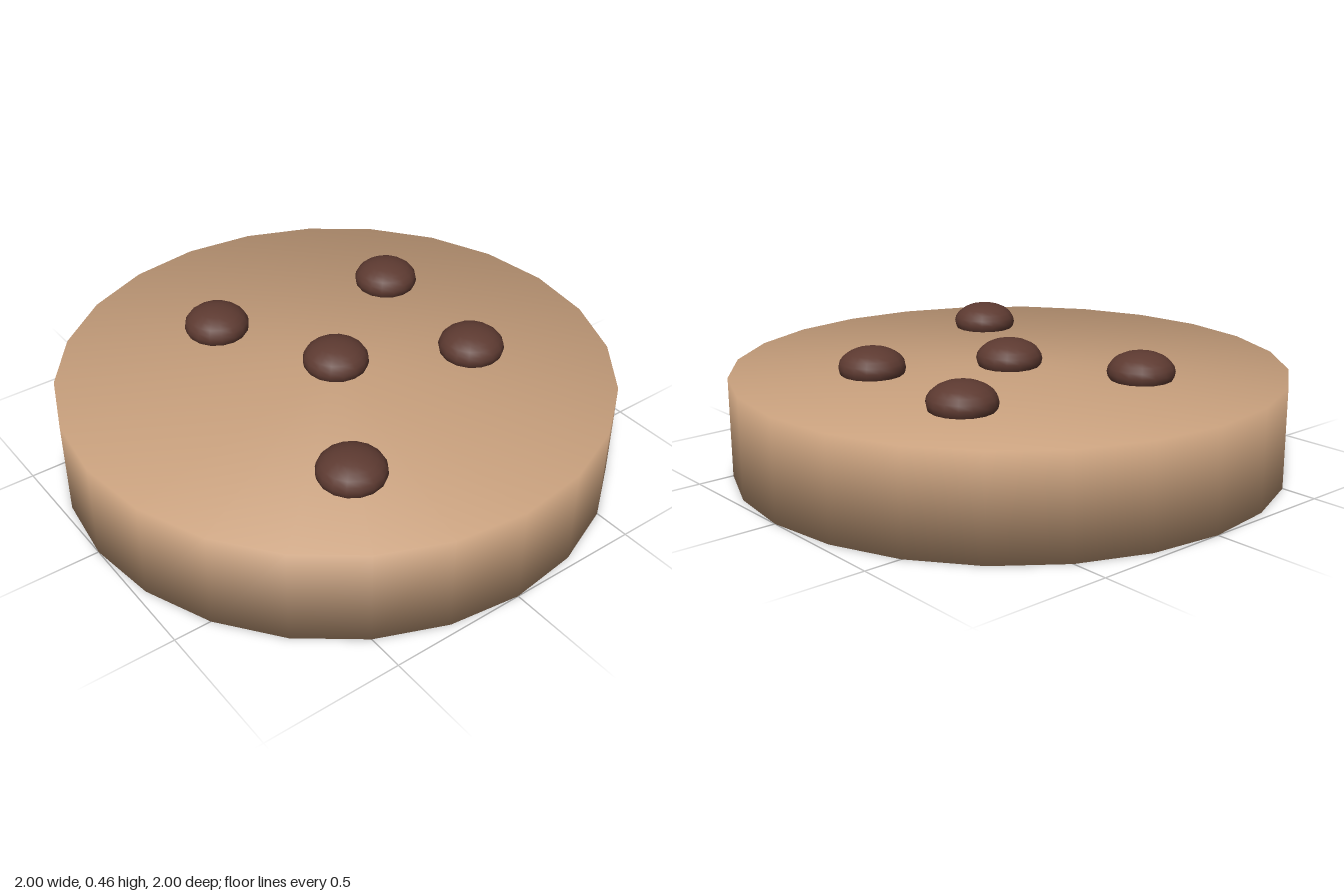
import * as THREE from 'three';
import { mergeVertices } from 'three/addons/utils/BufferGeometryUtils.js';

const HEIGHT = 0.36;
// Chip centres as [x, z]
const CHIPS = [[0, 0], [-0.334, -0.49], [0.222, -0.447], [-0.446, 0.22], [0.532, 0.33]];

// 24-sided disc whose rim is shaded smoothly into the top and bottom
function discGeometry() {
  const disc = new THREE.CylinderGeometry(1, 1, HEIGHT, 24);
  disc.deleteAttribute('normal');
  disc.deleteAttribute('uv');
  const merged = mergeVertices(disc, 1e-4);
  merged.computeVertexNormals();
  return merged;
}

export function createModel() {
  const group = new THREE.Group();
  group.name = 'cookie';

  // Dough
  const dough = new THREE.Mesh(discGeometry(), new THREE.MeshStandardMaterial({ color: 0xc8a07d }));
  dough.name = 'dough';
  dough.position.y = HEIGHT / 2;
  group.add(dough);

  // Chocolate chips: flattened balls partly sunk into the top
  const chipGeometry = new THREE.SphereGeometry(0.12, 16, 12).scale(1, 0.6, 1);
  const chipMaterial = new THREE.MeshStandardMaterial({ color: 0x5d3a31 });
  CHIPS.forEach(([x, z], i) => {
    const chip = new THREE.Mesh(chipGeometry, chipMaterial);
    chip.name = `chocolateChip${i + 1}`;
    chip.position.set(x, 0.385, z);
    group.add(chip);
  });

  return group;
}
